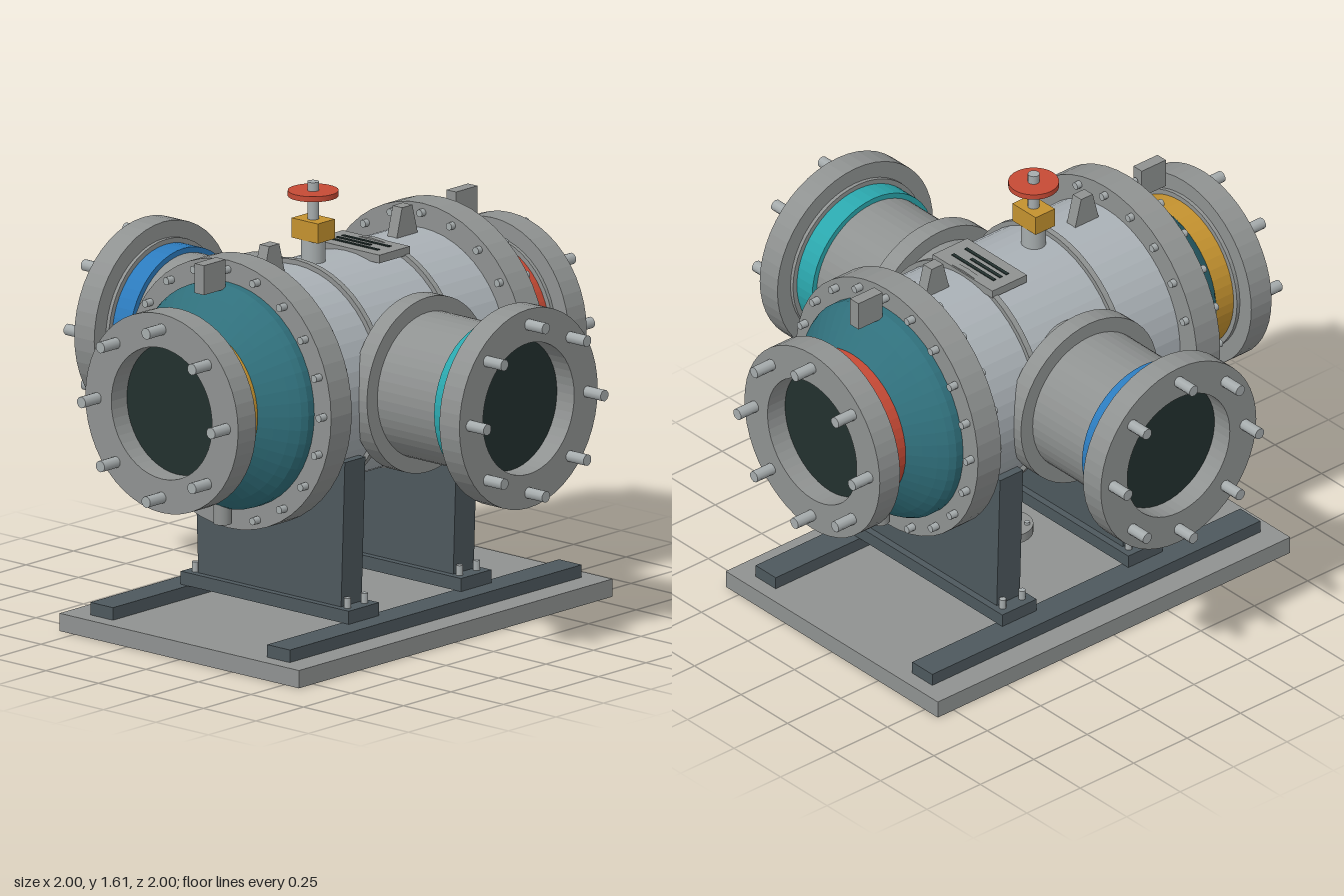
import * as THREE from 'three';

const mat = (name, color) => {
  const m = new THREE.MeshStandardMaterial({ color });
  m.name = name;
  return m;
};

export function createModel() {
  const steel = mat('grey steel', 0x8f9291);
  const shellMat = mat('pale shell', 0xaab1b6);
  const slate = mat('dark slate', 0x4d585d);
  const teal = mat('teal', 0x30707c);
  const blue = mat('blue', 0x2c7bbd);
  const cyan = mat('cyan', 0x2ba7ad);
  const yellow = mat('ochre', 0xc4922f);
  const red = mat('red', 0xc64a35);
  const dark = mat('dark bore', 0x22302e);
  const bright = mat('bright bolt', 0xa6acad);

  const AXIS = 0.92; // height of the vessel centre line
  const model = new THREE.Group();
  model.name = 'pressureVessel';

  const group = (name, parent = model) => {
    const g = new THREE.Group();
    g.name = name;
    parent.add(g);
    return g;
  };
  const add = (parent, name, geo, material, x = 0, y = 0, z = 0) => {
    const mesh = new THREE.Mesh(geo, material);
    mesh.name = name;
    mesh.position.set(x, y, z);
    parent.add(mesh);
    return mesh;
  };
  const flat = (geo) => {
    const g = geo.toNonIndexed();
    g.computeVertexNormals();
    return g;
  };
  const box = (w, h, d) => new THREE.BoxGeometry(w, h, d);
  // Upright cylinder from y0 to y1
  const post = (r, y0, y1, n = 16) =>
    new THREE.CylinderGeometry(r, r, y1 - y0, n).translate(0, (y0 + y1) / 2, 0);
  // Faceted drum along z from z0 to z1
  const drum = (r, z0, z1, n = 48) => flat(post(r, z0, z1, n).rotateX(Math.PI / 2));
  // Turned shape along z from [radius, z] points
  const turned = (points) => flat(new THREE.LatheGeometry(
    points.map(([r, z]) => new THREE.Vector2(r, z)), 48).rotateX(Math.PI / 2));
  const boltCircle = (parent, count, radius, r, z0, z1) => {
    const geo = post(r, z0, z1, 10).rotateX(Math.PI / 2);
    for (let i = 0; i < count; i++) {
      const a = (i / count) * Math.PI * 2;
      add(parent, 'bolt', geo, bright, Math.sin(a) * radius, Math.cos(a) * radius, 0);
    }
  };

  // Skid: base plate and two long rails
  add(model, 'basePlate', box(1.14, 0.065, 1.65), steel, 0, 0.0325, 0);
  for (const s of [-1, 1]) {
    add(model, 'rail', box(0.108, 0.047, 1.536), slate, s * 0.421, 0.0875, 0);
  }

  // Saddles with foot plates and anchor bolts
  const web = new THREE.Shape();
  web.moveTo(-0.34, 0.155);
  web.lineTo(0.34, 0.155);
  web.lineTo(0.358, 0.69);
  web.lineTo(-0.358, 0.69);
  web.closePath();
  const webGeo = new THREE.ExtrudeGeometry(web, { depth: 0.108, bevelEnabled: false });
  webGeo.translate(0, 0, -0.054);
  for (const s of [-1, 1]) {
    const saddle = group('saddle');
    saddle.position.z = s * 0.295;
    add(saddle, 'saddleWeb', webGeo, slate);
    add(saddle, 'footPlate', box(0.8, 0.048, 0.16), slate, 0, 0.135, 0);
    for (const x of [-0.362, 0.362]) {
      for (const z of [-0.045, 0.045]) {
        add(saddle, 'anchorBolt', post(0.013, 0.155, 0.195, 10), bright, x, 0, z);
      }
    }
  }

  // Shell with two seam bands
  const vessel = group('vessel');
  vessel.position.y = AXIS;
  add(vessel, 'shell', drum(0.4, -0.5, 0.5), shellMat);
  for (const s of [-1, 1]) {
    add(vessel, 'seamBand', drum(0.418, -0.011, 0.011), steel, 0, 0, s * 0.197);
  }

  // Flanged pipe end along +z: colour band, gasket, flange, bore and bolts
  const pipeEnd = (parent, bandMat) => {
    add(parent, 'colourBand', drum(0.285, 0.725, 0.812), bandMat);
    add(parent, 'gasketFace', drum(0.303, 0.808, 0.826), steel);
    add(parent, 'nozzleFlange', turned([
      [0.24, 0.822], [0.364, 0.822], [0.364, 0.917], [0.24, 0.917], [0.24, 0.822],
    ]), steel);
    add(parent, 'bore', drum(0.242, 0.79, 0.835), dark);
    boltCircle(parent, 8, 0.308, 0.021, 0.9, 1.0);
  };

  // Domed heads at front and back
  for (const [name, angle, bandMat] of [['frontHead', 0, yellow], ['backHead', Math.PI, red]]) {
    const head = group(name, vessel);
    head.rotation.y = angle;
    add(head, 'bodyFlange', drum(0.49, 0.458, 0.567), steel);
    boltCircle(head, 20, 0.457, 0.014, 0.437, 0.598);
    add(head, 'dome', turned([
      [0.41, 0.56], [0.41, 0.598], [0.398, 0.622], [0.37, 0.652], [0.33, 0.688], [0.285, 0.727],
    ]), teal);
    pipeEnd(head, bandMat);
    add(head, 'headLug', box(0.045, 0.108, 0.113), steel, 0, 0.451, 0.663);
    add(head, 'headDrain', post(0.032, -0.467, -0.36), steel, 0, 0, 0.597);
  }

  // Side branches with reinforcing collars
  for (const [name, s, bandMat] of [['leftBranch', 1, cyan], ['rightBranch', -1, blue]]) {
    const branch = group(name, vessel);
    branch.rotation.y = s * Math.PI / 2;
    add(branch, 'collar', drum(0.32, 0.365, 0.437), steel);
    add(branch, 'branchPipe', drum(0.265, 0.3, 0.74), steel);
    pipeEnd(branch, bandMat);
  }

  // Tapered lifting lugs on top of the shell
  const lug = new THREE.Shape();
  lug.moveTo(-0.06, 1.3);
  lug.lineTo(0.06, 1.3);
  lug.lineTo(0.027, 1.425);
  lug.lineTo(-0.027, 1.425);
  lug.closePath();
  const lugGeo = new THREE.ExtrudeGeometry(lug, { depth: 0.045, bevelEnabled: false });
  lugGeo.translate(0, 0, -0.0225).rotateY(Math.PI / 2);
  for (const s of [-1, 1]) add(model, 'liftingLug', lugGeo, steel, 0, 0, s * 0.35);

  // Data plate with plain dark bars
  const plate = group('dataPlate');
  add(plate, 'plate', box(0.32, 0.03, 0.162), steel, 0, 1.317, -0.132);
  [[0.225, -0.16], [0.16, -0.13], [0.225, -0.1]].forEach(([w, z]) => {
    add(plate, 'plateBar', box(w, 0.004, 0.013), dark, w / 2 - 0.1125, 1.333, z);
  });

  // Vent valve with handwheel
  const valve = group('ventValve');
  valve.position.z = 0.12;
  add(valve, 'valveNeck', post(0.044, 1.29, 1.405, 20), bright);
  add(valve, 'valveBody', box(0.125, 0.072, 0.09), yellow, 0, 1.436, 0);
  add(valve, 'valveStem', post(0.021, 1.46, 1.608), bright);
  add(valve, 'handwheel', post(0.09, 1.556, 1.576, 32), red);

  // Bottom drain with small bolted flange
  const drain = group('bottomDrain');
  add(drain, 'drainPipe', post(0.045, 0.17, 0.56, 24), shellMat);
  add(drain, 'drainFlange', post(0.09, 0.162, 0.195, 28), steel);
  for (let i = 0; i < 4; i++) {
    const a = Math.PI / 4 + i * Math.PI / 2;
    add(drain, 'drainBolt', post(0.01, 0.152, 0.205, 8), bright,
      Math.cos(a) * 0.068, 0, Math.sin(a) * 0.068);
  }

  return model;
}
